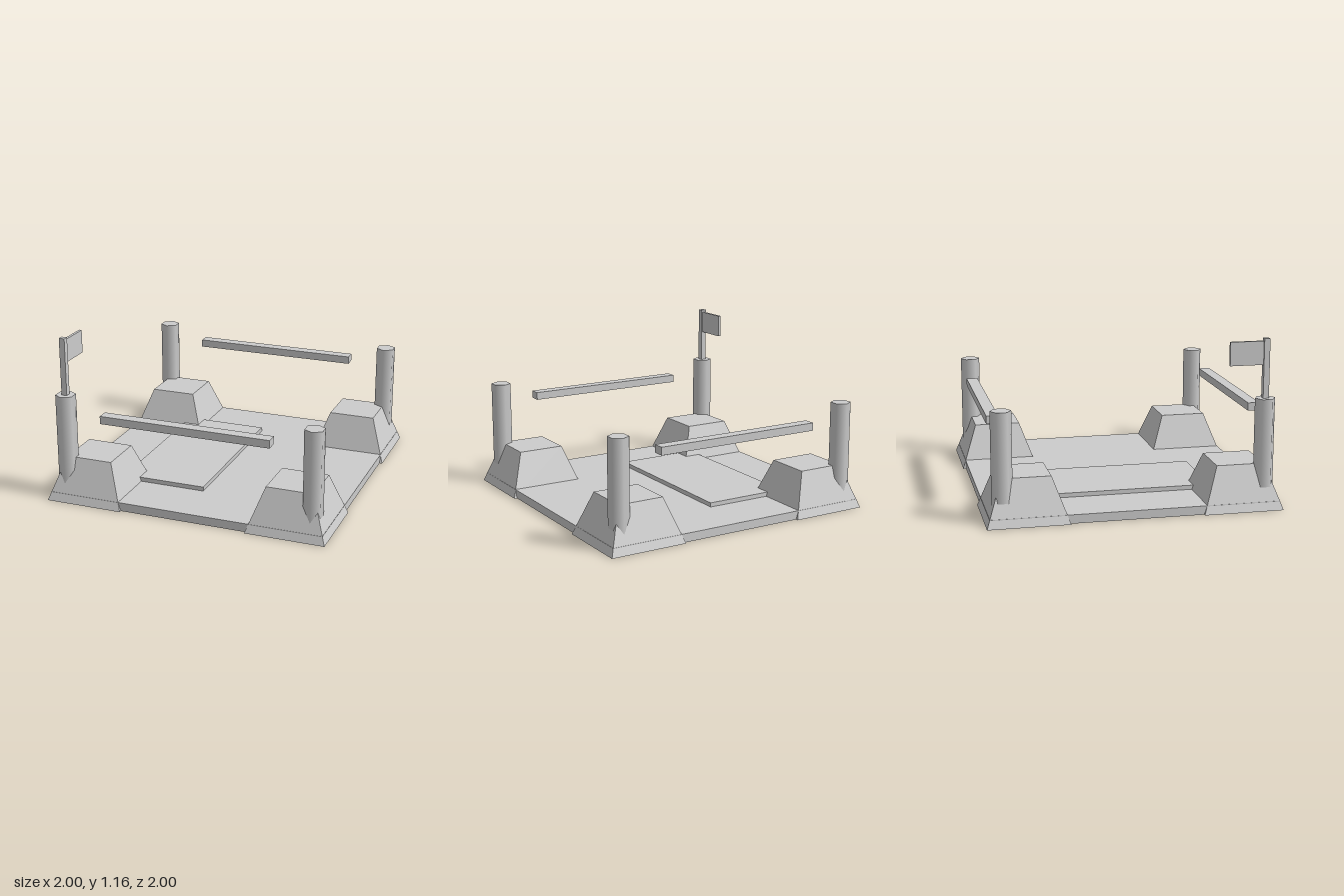
import * as THREE from 'three';

export function createModel() {
  const model = new THREE.Group();
  model.name = 'arena';
  const grey = new THREE.MeshStandardMaterial({ color: 0xcccccc });
  grey.name = 'plain grey';

  const add = (name, geometry, x, y, z) => {
    const mesh = new THREE.Mesh(geometry, grey);
    mesh.name = name;
    mesh.position.set(x, y, z);
    model.add(mesh);
  };
  const box = (name, w, h, d, x, y, z) => add(name, new THREE.BoxGeometry(w, h, d), x, y, z);

  // Square block whose top face is smaller than its base
  const taperedBlock = (bottom, top, height) => {
    const g = new THREE.BoxGeometry(bottom, height, bottom);
    const p = g.attributes.position;
    for (let i = 0; i < p.count; i++) {
      if (p.getY(i) > 0) p.setXYZ(i, p.getX(i) * top / bottom, p.getY(i), p.getZ(i) * top / bottom);
    }
    g.computeVertexNormals();
    return g;
  };

  // Floor and raised slab
  box('floor', 1.96, 0.06, 1.96, 0, 0.03, 0);
  box('raisedSlab', 0.6, 0.04, 1.2, -0.3, 0.07, 0);

  // Four corner mounds, each with a six-sided post
  for (const sx of [-1, 1]) {
    for (const sz of [-1, 1]) {
      add('cornerMound', taperedBlock(0.55, 0.33, 0.305), sx * 0.725, 0.1525, sz * 0.725);
      add('cornerPost', new THREE.CylinderGeometry(0.07, 0.07, 0.7, 6), sx * 0.885, 0.405, sz * 0.885);
    }
  }

  // Floating bars along the front and back
  for (const sz of [-1, 1]) box('crossBar', 1.205, 0.055, 0.08, 0, 0.628, sz * 0.904);

  // Flag on the front right post
  box('flagPole', 0.04, 0.41, 0.04, -0.885, 0.952, 0.885);
  box('flag', 0.02, 0.16, 0.23, -0.885, 1.06, 0.75);

  return model;
}
